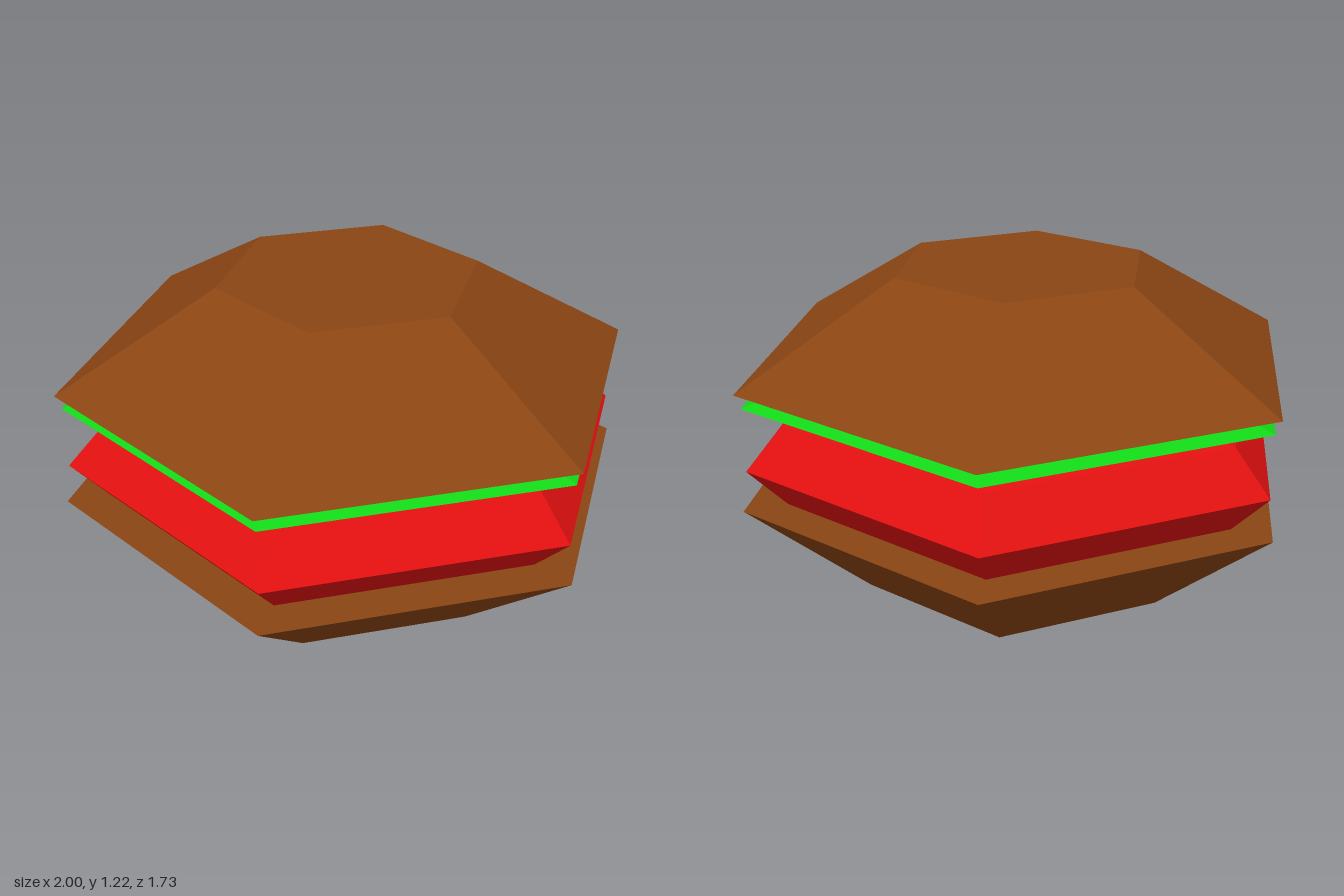
import * as THREE from 'three';

const SIDES = 6;

const bunBrown = new THREE.MeshStandardMaterial({ color: 0x8b4513 });
const lettuceGreen = new THREE.MeshStandardMaterial({ color: 0x12d818 });
const pattyRed = new THREE.MeshStandardMaterial({ color: 0xe21010 });

// Faceted six-sided layer from a [radius, y] profile listed bottom to top
function layer(name, material, profile) {
  const points = profile.map(([r, y]) => new THREE.Vector2(r, y));
  const geometry = new THREE.LatheGeometry(points, SIDES, Math.PI / 2).toNonIndexed();
  geometry.computeVertexNormals();
  const mesh = new THREE.Mesh(geometry, material);
  mesh.name = name;
  return mesh;
}

// Profile of a squashed ball with bands every 30 degrees
function squashedBall(radius, halfHeight, centreY) {
  const profile = [];
  for (let i = 0; i <= 6; i++) {
    const a = (i / 6) * Math.PI;
    const r = i % 6 === 0 ? 0 : radius * Math.sin(a);
    profile.push([r, centreY - halfHeight * Math.cos(a)]);
  }
  return profile;
}

export function createModel() {
  const group = new THREE.Group();
  group.name = 'burger';

  // Lower bun: pointed bowl with a flat top
  group.add(layer('bottomBun', bunBrown, [[0, 0], [0.577, 0.105], [1, 0.475], [0, 0.475]]));

  // Fillings, bulging slightly into their neighbours
  group.add(layer('patty', pattyRed, squashedBall(0.98, 0.287, 0.617)));
  group.add(layer('lettuce', lettuceGreen, squashedBall(0.98, 0.08, 0.839)));

  // Upper bun: flat-topped cap with a closed underside
  group.add(layer('topBun', bunBrown, [[0, 0.889], [1, 0.889], [0.45, 1.215], [0, 1.215]]));

  return group;
}
